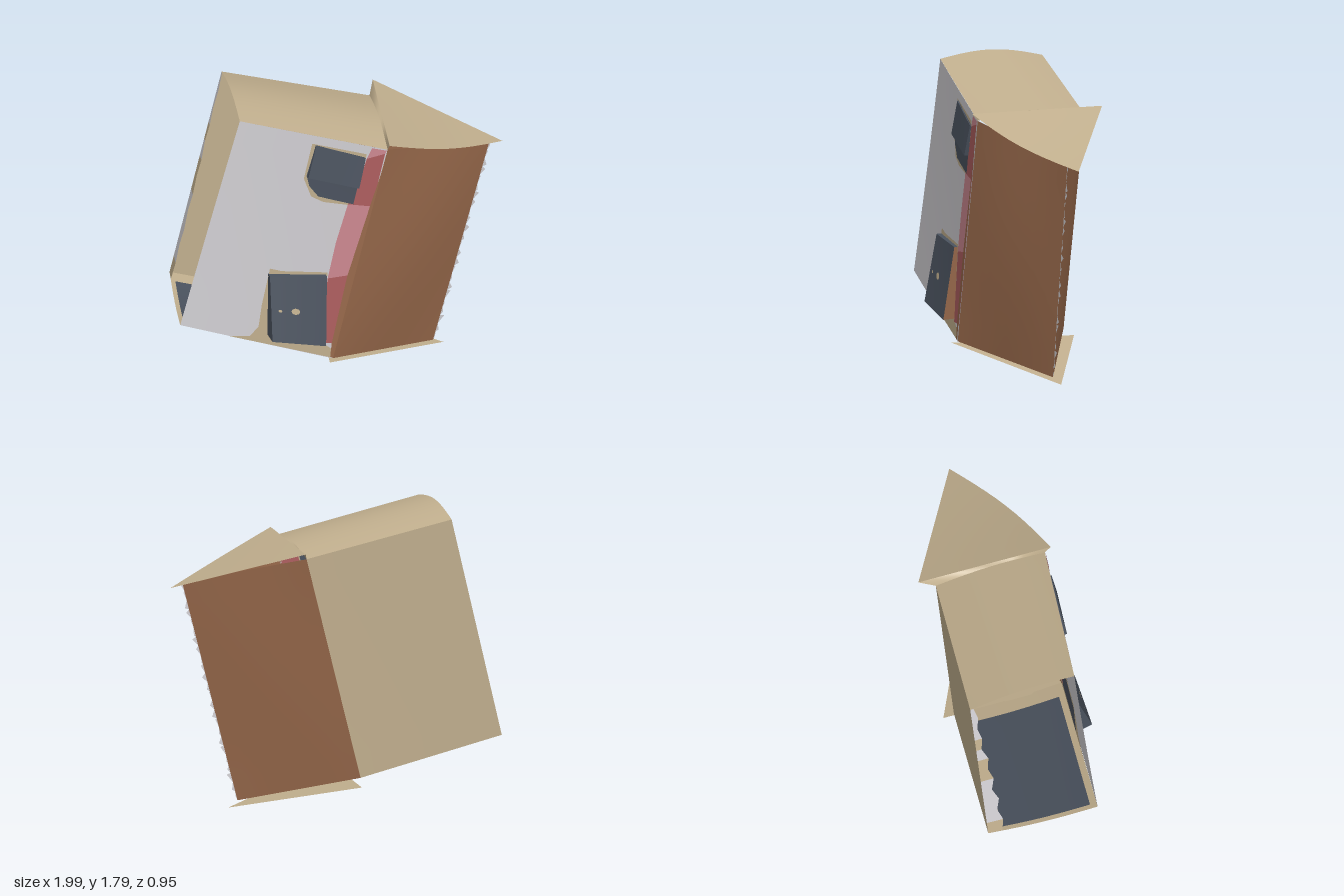
import * as THREE from 'three';

const material = (name, color) =>
  new THREE.MeshStandardMaterial({ name, color, side: THREE.DoubleSide });

const V = (x, y, z) => new THREE.Vector3(x, y, z);

// slightly twisted surface of the front wall, as depth over x and y
const wallZ = (x, y) => 0.415 + 0.224 * x - 0.021 * y + 0.031 * x * y;
const onWall = (x, y, out = 0) => V(x, y, wallZ(x, y) + out);

// Curved four-cornered sheet: u runs a to b, v runs a to d; bend(u, v) is added
function sheet(a, b, c, d, bend = () => V(0, 0, 0), range = [0, 1, 0, 1]) {
  const n = 10, pos = [], index = [];
  for (let j = 0; j <= n; j++) {
    for (let i = 0; i <= n; i++) {
      const u = THREE.MathUtils.lerp(range[0], range[1], i / n);
      const v = THREE.MathUtils.lerp(range[2], range[3], j / n);
      const p = a.clone().lerp(b, u).lerp(d.clone().lerp(c, u), v).add(bend(u, v));
      pos.push(p.x, p.y, p.z);
      if (i < n && j < n) {
        const k = j * (n + 1) + i;
        index.push(k, k + 1, k + n + 2, k, k + n + 2, k + n + 1);
      }
    }
  }
  const g = new THREE.BufferGeometry();
  g.setAttribute('position', new THREE.Float32BufferAttribute(pos, 3));
  g.setIndex(index);
  g.computeVertexNormals();
  return g;
}

// Moves a geometry onto the front wall at a small offset
function layOnWall(g, out) {
  const p = g.attributes.position;
  for (let i = 0; i < p.count; i++) p.setZ(i, wallZ(p.getX(i), p.getY(i)) + out);
  g.computeVertexNormals();
  return g;
}
const wallPlate = (points, out) => layOnWall(
  new THREE.ShapeGeometry(new THREE.Shape(points.map(p => new THREE.Vector2(...p)))), out);

// Flat triangles from corner points
function triangles(points) {
  const g = new THREE.BufferGeometry().setFromPoints(points);
  g.computeVertexNormals();
  return g;
}

export function createModel() {
  const model = new THREE.Group();
  model.name = 'openGabledBox';
  const white = material('paleWall', 0xd0ced2);
  const tan = material('tanCard', 0xc0ae8d);
  const brown = material('brownCard', 0x98694b);
  const dark = material('slateBlue', 0x4a525e);
  const red = material('dullRed', 0xae5e5f);
  const pink = material('dustyPink', 0xcc8890);

  const add = (name, geometry, mat, parent = model) => {
    const m = new THREE.Mesh(geometry, mat);
    m.name = name;
    parent.add(m);
    return m;
  };

  // corners of the open body and of the pointed end
  const A = onWall(-0.64, 1.77), B = onWall(-1, 0.44);
  const C = onWall(-0.125, 0.175), D = onWall(0.2, 1.555);
  const E = V(-0.54, 1.75, -0.44), F = V(-0.85, 0.43, -0.48);
  const G = V(-0.02, 0.21, -0.28), H = V(0.31, 1.55, -0.23);
  const I = V(0.9, 1.38, 0.235), J = V(0.58, 0.05, 0.145);
  const arch = v => 0.045 * Math.sin(Math.PI * v);

  // body, open on its right end
  add('frontWall', layOnWall(sheet(B, C, D, A), 0), white);
  add('backWall', sheet(G, F, E, H), tan);
  add('topPanel', sheet(A, D, H, E, (u, v) => V(0, arch(v), 0)), tan);
  const belly = (shift) => (u, v) => V(0, -0.03 * Math.sin(Math.PI * u) + shift, 0);
  add('bottomPanel', sheet(B, F, G, C, belly(0)), tan);
  for (const s of [-0.005, 0.005])
    add('floorPaint', sheet(B, F, G, C, belly(s), [0.06, 0.86, 0.03, 0.9]), dark);

  // torn lip turned inward at the open edge of the back wall
  const lipWidth = [0.13, 0.15, 0.11, 0.14, 0.09, 0.12, 0.08, 0.1, 0.05, 0.07, 0.04, 0.06, 0.03];
  const lipPoint = (t, w) => F.clone().lerp(E, t).lerp(B.clone().lerp(A, t), w);
  for (let i = 0; i < 12; i++) {
    const t0 = i / 12, t1 = (i + 1) / 12;
    const p = lipPoint(t0, 0), q = lipPoint(t0, lipWidth[i]);
    const r = lipPoint(t1, lipWidth[i + 1]), s = lipPoint(t1, 0);
    add('tornLip', triangles([p, q, r, p, r, s]), [0, 5, 6, 8].includes(i) ? tan : white);
  }

  // pointed end
  const swell = (x, z) => (u, v) => {
    const k = Math.sin(Math.PI * u) * Math.sin(Math.PI * v);
    return V(x * k, 0, z * k);
  };
  add('pointedFrontPanel', sheet(C, J, I, D, swell(0.01, 0.025)), brown);
  add('pointedBackPanel', sheet(J, G, H, I, swell(0.01, -0.01)), brown);

  // overhanging triangular flaps above and below the pointed end
  const P = V(0.2, 1.6, 0.475), Q = V(0.99, 1.355, 0.21), R = V(0.36, 1.6, -0.32);
  add('roofFlap', sheet(P, Q, Q, R, (u, v) => {
    const k = Math.sin(Math.PI * u) * (1 - v);
    return V(0, -0.015 * k, 0.04 * k);
  }), tan);
  add('roofFold', sheet(D, P, R, H, (u, v) => V(0, arch(v) * (1 - u), 0)), tan);
  const S = V(-0.15, 0.165, 0.41), T = V(0, 0.165, -0.34), U = V(0.65, 0.015, 0.13);
  add('bottomFlap', sheet(S, T, U, U), tan);

  // ragged fringe along the sharp edge
  const fringe = [];
  for (let i = 0; i < 24; i++) {
    const a = J.clone().lerp(I, i / 24), b = J.clone().lerp(I, (i + 1) / 24);
    const tip = a.clone().lerp(b, 0.5 + 0.4 * Math.sin(i * 4.1));
    fringe.push(a, tip.add(V(0.006 + 0.022 * Math.sin(i * 2.3) ** 2, 0, 0)), b);
  }
  add('raggedEdge', triangles(fringe), white);

  // paint on both faces of the front wall
  const paint = [
    ['upperRedBand', red, 0.004, [[0.08, 1.5], [0.185, 1.53], [0.108, 1.18], [-0.03, 1.2], [0.03, 1.33]]],
    ['topPinkBand', pink, 0.004, [[0.08, 1.5], [0.11, 1.57], [0.195, 1.55], [0.185, 1.53]]],
    ['pinkBand', pink, 0.004, [[-0.03, 1.2], [0.108, 1.18], [0, 0.73], [-0.15, 0.71], [-0.1, 0.95]]],
    ['lowerRedBand', red, 0.004, [[-0.15, 0.71], [0, 0.73], [-0.1, 0.28], [-0.19, 0.28]]],
    ['brownFold', brown, 0.006, [[0.198, 1.55], [0.16, 1.4], [0.095, 1.18], [-0.038, 0.72],
      [-0.13, 0.28], [-0.14, 0.19], [-0.123, 0.18]]],
    ['doorSurround', tan, 0.003, [[-0.48, 0.79], [-0.41, 0.77], [-0.15, 0.75], [-0.18, 0.28],
      [-0.12, 0.23], [-0.125, 0.18], [-0.72, 0.355], [-0.6, 0.35], [-0.55, 0.41], [-0.53, 0.55]]],
    ['windowSurround', tan, 0.003, [[-0.23, 1.61], [0.08, 1.53], [0.03, 1.3], [0, 1.19],
      [-0.17, 1.22], [-0.24, 1.26], [-0.28, 1.38]]],
    ['windowPaint', dark, 0.006, [[-0.21, 1.6], [0.07, 1.51], [0.027, 1.32], [0, 1.2],
      [-0.12, 1.235], [-0.2, 1.26], [-0.25, 1.33], [-0.265, 1.4]]],
    ['doorPaint', dark, 0.006, [[-0.49, 0.755], [-0.16, 0.735], [-0.185, 0.3], [-0.5, 0.355]]],
  ];
  for (const [name, mat, out, points] of paint)
    for (const side of [-1, 1]) add(name, wallPlate(points, side * out), mat);

  // wedge-shaped shutters; corners are x, y and how far each stands out
  function shutter(name, corners, sideMat) {
    const group = new THREE.Group();
    group.name = name;
    model.add(group);
    const back = corners.map(([x, y]) => onWall(x, y));
    const front = corners.map(([x, y, out]) => onWall(x, y, out));
    add(name + 'Face', sheet(front[3], front[2], front[1], front[0]), dark, group);
    for (let i = 0; i < 4; i++) {
      const j = (i + 1) % 4;
      add(name + 'Side', sheet(front[i], front[j], back[j], back[i]), i === 1 ? sideMat : dark, group);
    }
    // point on the face, u to the right and v downward, just clear of it
    return (u, v) => front[0].clone().lerp(front[1], u)
      .lerp(front[3].clone().lerp(front[2], u), v).add(V(0, 0, 0.004));
  }
  const onDoor = shutter('doorShutter', [[-0.49, 0.755, 0.035], [-0.16, 0.735, 0.025],
    [-0.185, 0.3, 0.08], [-0.5, 0.355, 0.1]], brown);
  shutter('windowShutter', [[-0.21, 1.6, 0.012], [0.072, 1.505, 0.012],
    [0.027, 1.317, 0.033], [-0.262, 1.395, 0.03]], dark);

  // worn spots on the door
  for (const [u, v, r] of [[0.44, 0.52, 0.08], [0.16, 0.52, 0.035]]) {
    const spot = [];
    for (let i = 0; i < 8; i++) {
      const rim = k => onDoor(u + r * Math.cos(k * Math.PI / 4), v - 0.6 * r * Math.sin(k * Math.PI / 4));
      spot.push(onDoor(u, v), rim(i), rim(i + 1));
    }
    add('wornSpot', triangles(spot), tan);
  }

  return model;
}
